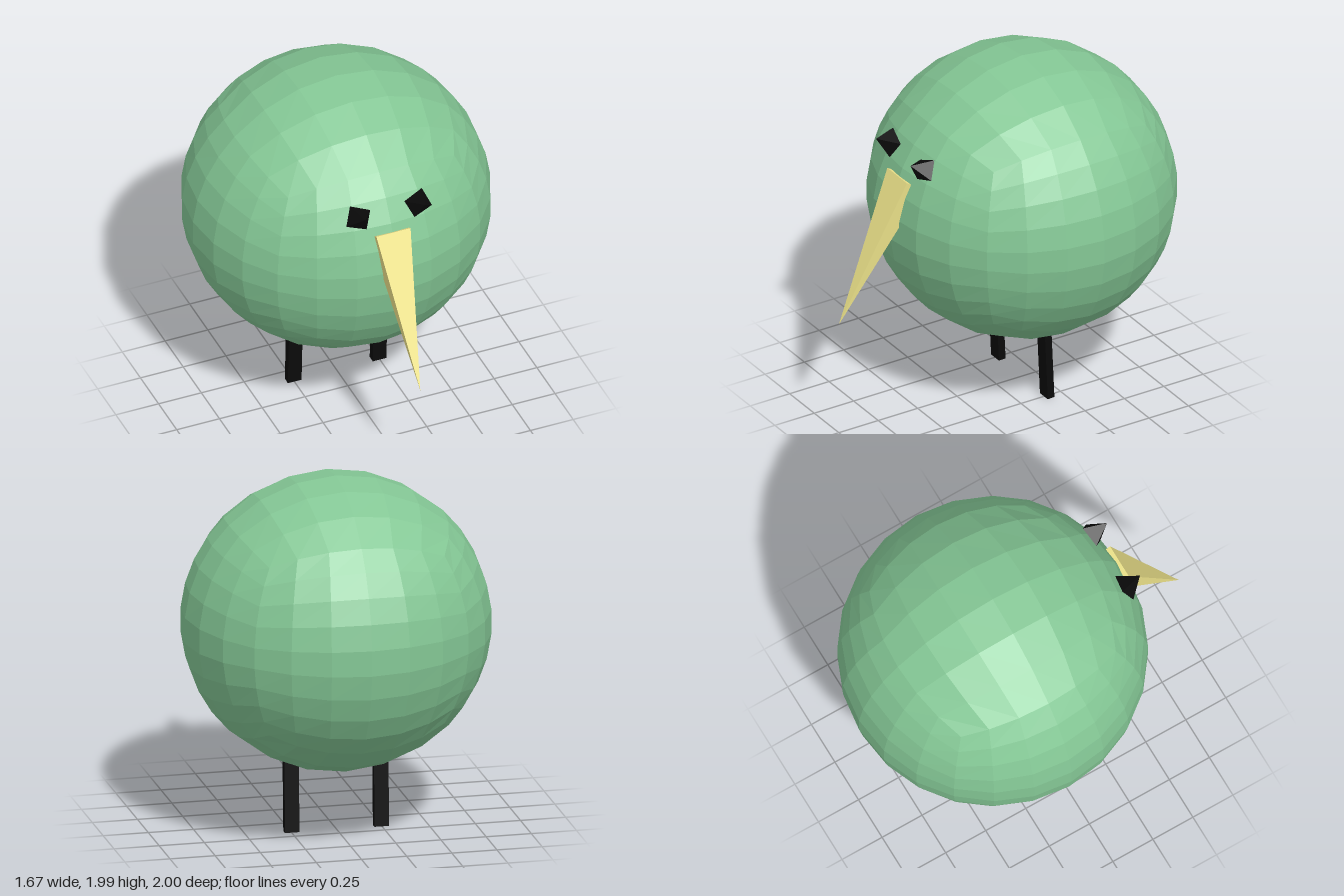
import * as THREE from 'three';
import { ConvexGeometry } from 'three/addons/geometries/ConvexGeometry.js';

const material = (color) => new THREE.MeshStandardMaterial({ color, flatShading: true });

// Box grid bent into a unit sphere with evenly spaced rows, then stretched
function roundedBody(rx, ry, rz) {
  const geometry = new THREE.BoxGeometry(2, 2, 2, 6, 9, 6);
  const p = geometry.attributes.position;
  const warp = (t) => Math.SQRT2 * Math.sin(t * Math.PI / 4);
  const bend = (a, b, c) => a * Math.sqrt(1 - b * b / 2 - c * c / 2 + b * b * c * c / 3);
  for (let i = 0; i < p.count; i++) {
    const x = warp(p.getX(i)), y = warp(p.getY(i)), z = warp(p.getZ(i));
    p.setXYZ(i, rx * bend(x, y, z), ry * bend(y, z, x), rz * bend(z, x, y));
  }
  geometry.computeVertexNormals();
  return geometry;
}

const hull = (points) => new ConvexGeometry(points.map((q) => new THREE.Vector3(...q)));

export function createModel() {
  const group = new THREE.Group();
  const green = material(0x84c795);
  const yellow = material(0xf0e68c);
  const black = material(0x0a0a0a);

  const add = (name, geometry, mat) => {
    const mesh = new THREE.Mesh(geometry, mat);
    mesh.name = name;
    group.add(mesh);
    return mesh;
  };

  // Round body
  add('body', roundedBody(0.84, 0.815, 0.838), green).position.set(0, 1.172, -0.162);

  // Long drooping beak: a four-sided spike
  add('beak', hull([
    [-0.1, 1.48, 0.63], [0.1, 1.48, 0.63],
    [-0.1, 1.42, 0.525], [0.1, 1.42, 0.525],
    [0, 0.67, 1],
  ]), yellow);

  for (const [side, s] of [['left', 1], ['right', -1]]) {
    // Eye: small pyramid resting on the body
    add(side + 'Eye', hull([
      [s * 0.21, 1.645, 0.525], [s * 0.1, 1.602, 0.545],
      [s * 0.14, 1.515, 0.59], [s * 0.25, 1.55, 0.57],
      [s * 0.175, 1.632, 0.655],
    ]), black);

    // Leg: flat bar leaning slightly forward at the top
    const leg = add(side + 'Leg', new THREE.BoxGeometry(0.08, 0.41, 0.042), black);
    leg.position.set(s * 0.248, 0.206, -0.158);
    leg.rotation.x = 0.045;
  }
  return group;
}
